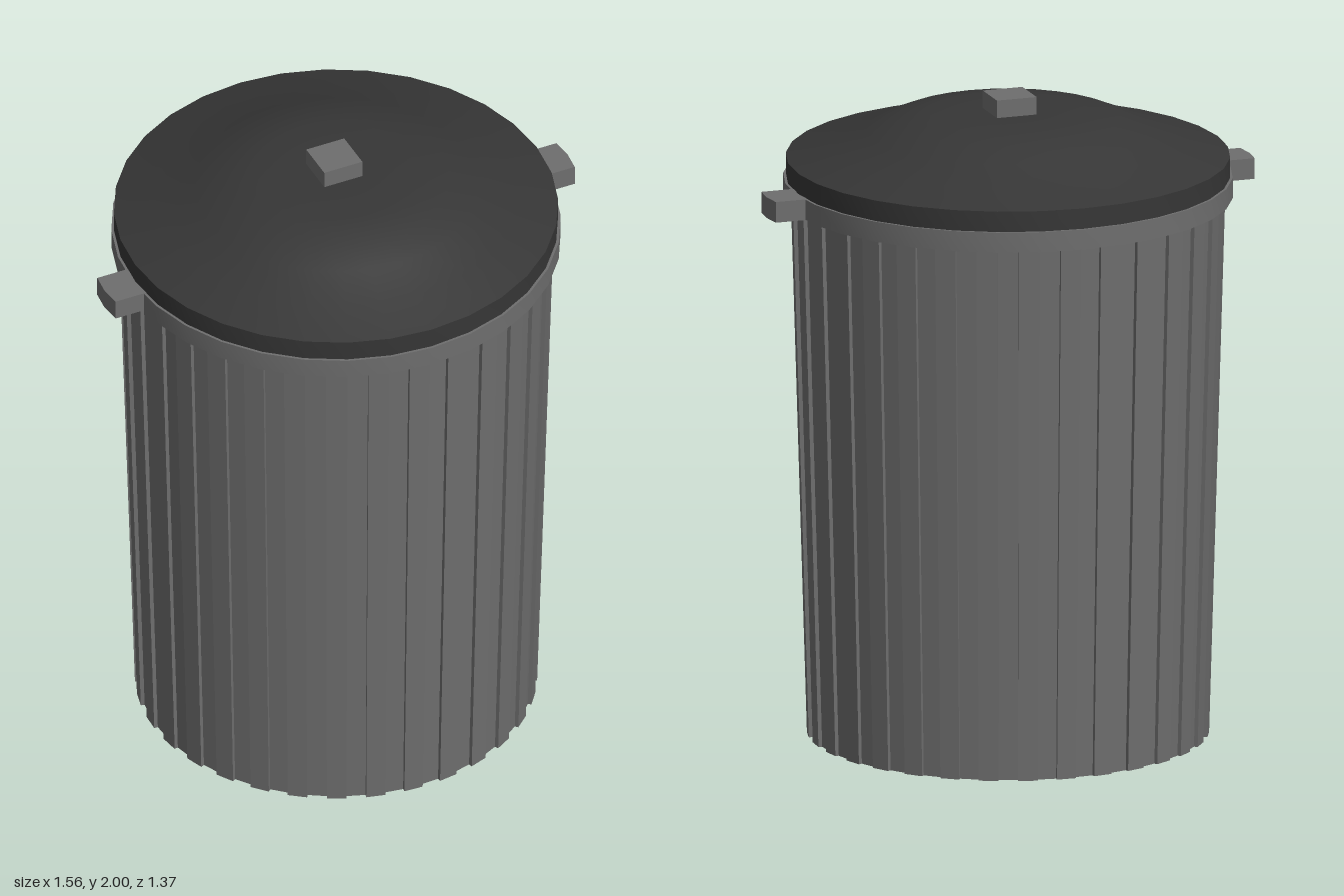
import * as THREE from 'three';
import { toCreasedNormals } from 'three/addons/utils/BufferGeometryUtils.js';

const SIDES = 32;

export function createModel() {
  const grey = new THREE.MeshStandardMaterial({ name: 'grey metal', color: 0x6e6e6e });
  const dark = new THREE.MeshStandardMaterial({ name: 'dark lid', color: 0x363636 });
  const group = new THREE.Group();
  group.name = 'trashCan';

  function add(name, geometry, material) {
    const mesh = new THREE.Mesh(geometry, material);
    mesh.name = name;
    group.add(mesh);
    return mesh;
  }

  // revolve a [radius, height] profile, keeping sharp corners
  function turned(profile) {
    const points = profile.map(([r, y]) => new THREE.Vector2(r, y));
    return toCreasedNormals(new THREE.LatheGeometry(points, SIDES), 0.6);
  }

  // ribbed body: raised and sunken strips alternate around a tapered drum
  const bottomRadius = 0.612, topRadius = 0.662, ribDepth = 0.012, height = 1.72;
  const outline = [];
  for (let i = 0; i < SIDES * 2; i++) {
    const r = i % 2 ? bottomRadius : bottomRadius - ribDepth;
    for (const k of [i, i + 1]) {
      const a = (k * Math.PI) / SIDES;
      outline.push(new THREE.Vector2(r * Math.sin(a), -r * Math.cos(a)));
    }
  }
  const body = new THREE.ExtrudeGeometry(new THREE.Shape(outline), {
    depth: height, bevelEnabled: false,
  });
  body.rotateX(-Math.PI / 2);
  const p = body.attributes.position;
  for (let i = 0; i < p.count; i++) {
    const s = 1 + (topRadius / bottomRadius - 1) * (p.getY(i) / height);
    p.setX(i, p.getX(i) * s);
    p.setZ(i, p.getZ(i) * s);
  }
  body.computeVertexNormals();
  add('body', body, grey);

  // band around the mouth
  add('rimBand', turned([
    [0.62, 1.68], [0.684, 1.68], [0.684, 1.743], [0.62, 1.743],
  ]), grey);

  // domed lid with an upright edge
  add('lid', turned([
    [0.6, 1.74], [0.676, 1.74], [0.676, 1.807], [0.55, 1.845], [0.43, 1.889],
    [0.345, 1.925], [0.24, 1.943], [0.12, 1.945], [0, 1.945],
  ]), dark);

  // square knob
  const knob = add('lidKnob', new THREE.BoxGeometry(0.128, 0.07, 0.128), grey);
  knob.position.set(-0.004, 1.965, -0.004);

  // side handles with a slightly bowed outer end
  const handleShape = new THREE.Shape([
    [0.64, -0.065], [0.773, -0.065], [0.78, 0], [0.773, 0.065], [0.64, 0.065],
  ].map(([x, y]) => new THREE.Vector2(x, y)));
  const handle = new THREE.ExtrudeGeometry(handleShape, { depth: 0.065, bevelEnabled: false });
  handle.rotateX(-Math.PI / 2);
  for (const [name, turn] of [['leftHandle', 0], ['rightHandle', Math.PI]]) {
    const mesh = add(name, handle, grey);
    mesh.rotation.y = turn;
    mesh.position.y = 1.679;
  }

  return group;
}
